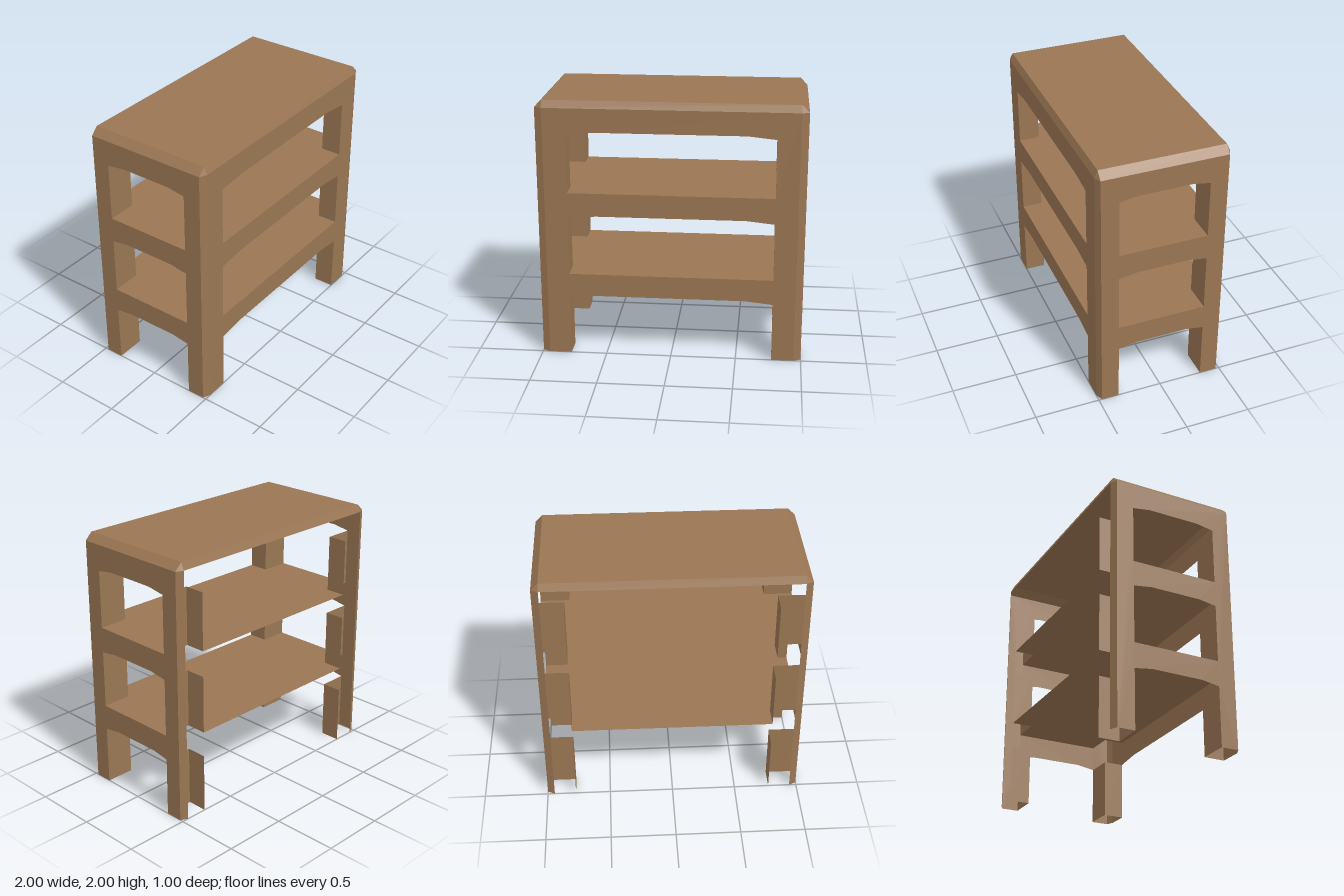
import * as THREE from 'three';

const X = 1, Z = 0.5;            // outer half sizes
const XB = 0.945, ZB = 0.475;    // half sizes inside the chamfer
const TOP = 2, RIM = 1.945;      // top height and start of the top chamfer
const LX = 0.775, LZ = 0.34;     // inner limits of the legs
const SHELVES = [0.655, 1.3];
// each opening: floor, arch shoulder, arch crown
const OPENINGS = [[0, 0.458, 0.48], [0.655, 1.1, 1.122], [1.3, 1.745, 1.767]];

const wood = new THREE.MeshStandardMaterial({
  color: 0x9a7653, roughness: 0.9, flatShading: true, side: THREE.DoubleSide,
});

function addMesh(parent, name, geometry) {
  const mesh = new THREE.Mesh(geometry, wood);
  mesh.name = name;
  parent.add(mesh);
  return mesh;
}

// flat convex polygon from its corners, counter-clockwise seen from outside
function facet(...corners) {
  const g = new THREE.BufferGeometry();
  g.setAttribute('position', new THREE.Float32BufferAttribute(corners.flat(), 3));
  const index = [];
  for (let i = 1; i < corners.length - 1; i++) index.push(0, i, i + 1);
  g.setIndex(index);
  g.computeVertexNormals();
  return g;
}

const outline = (points) => points.map(([x, y]) => new THREE.Vector2(x, y));

// frame sheet with arched openings; the lowest one is cut through to the floor
function frameSheet(half, inner, crown) {
  const [foot, ...windows] = OPENINGS.map(([floor, shoulder, peak]) => [
    [-inner, floor], [-inner, shoulder], [-crown, peak],
    [crown, peak], [inner, shoulder], [inner, floor],
  ]);
  const shape = new THREE.Shape(outline([[-half, RIM], [-half, 0], ...foot, [half, 0], [half, RIM]]));
  windows.forEach((w) => shape.holes.push(new THREE.Path(outline(w))));
  return new THREE.ShapeGeometry(shape);
}

export function createModel() {
  const group = new THREE.Group();
  group.name = 'shelfUnit';

  // front and side frames; the back stays open
  addMesh(group, 'frontFrame', frameSheet(XB, LX, 0.565)).position.z = Z;
  for (const s of [1, -1]) {
    const side = addMesh(group, s > 0 ? 'leftFrame' : 'rightFrame', frameSheet(ZB, LZ, 0.2));
    side.rotation.y = s * Math.PI / 2;
    side.position.x = s * X;
  }

  // top board and its chamfers
  addMesh(group, 'topBoard', facet([-XB, TOP, ZB], [XB, TOP, ZB], [XB, TOP, -ZB], [-XB, TOP, -ZB]));
  for (const s of [1, -1]) {
    addMesh(group, s > 0 ? 'frontTopChamfer' : 'backTopChamfer', facet(
      [-s * XB, RIM, s * Z], [s * XB, RIM, s * Z], [s * XB, TOP, s * ZB], [-s * XB, TOP, s * ZB]));
    addMesh(group, s > 0 ? 'leftTopChamfer' : 'rightTopChamfer', facet(
      [s * X, RIM, s * ZB], [s * X, RIM, -s * ZB], [s * XB, TOP, -s * ZB], [s * XB, TOP, s * ZB]));
  }

  // shelves, notched around the four legs
  const notched = new THREE.Shape(outline([
    [-LX, -Z], [LX, -Z], [LX, -LZ], [X, -LZ], [X, LZ], [LX, LZ],
    [LX, Z], [-LX, Z], [-LX, LZ], [-X, LZ], [-X, -LZ], [-LX, -LZ],
  ]));
  for (const y of SHELVES) {
    const shelf = addMesh(group, 'shelf', new THREE.ShapeGeometry(notched));
    shelf.rotation.x = -Math.PI / 2;
    shelf.position.y = y;
  }

  // corner posts: chamfer strip, top corner and inner leg walls
  for (const sx of [1, -1]) for (const sz of [1, -1]) {
    const post = new THREE.Group();
    post.name = (sz > 0 ? 'front' : 'back') + (sx > 0 ? 'Left' : 'Right') + 'Post';
    group.add(post);
    // mirroring once flips the winding, so reverse the corners there
    const face = (name, ...c) => {
      const pts = c.map(([x, y, z]) => [sx * x, y, sz * z]);
      addMesh(post, name, facet(...(sx * sz > 0 ? pts : pts.reverse())));
    };
    face('cornerChamfer', [XB, 0, Z], [X, 0, ZB], [X, RIM, ZB], [XB, RIM, Z]);
    face('topCorner', [XB, RIM, Z], [X, RIM, ZB], [XB, TOP, ZB]);
    for (const [low, high] of OPENINGS) {
      face('legInnerSide', [LX, low, LZ], [LX, low, Z], [LX, high, Z], [LX, high, LZ]);
      face('legInnerEnd', [X, low, LZ], [LX, low, LZ], [LX, high, LZ], [X, high, LZ]);
    }
  }
  return group;
}
